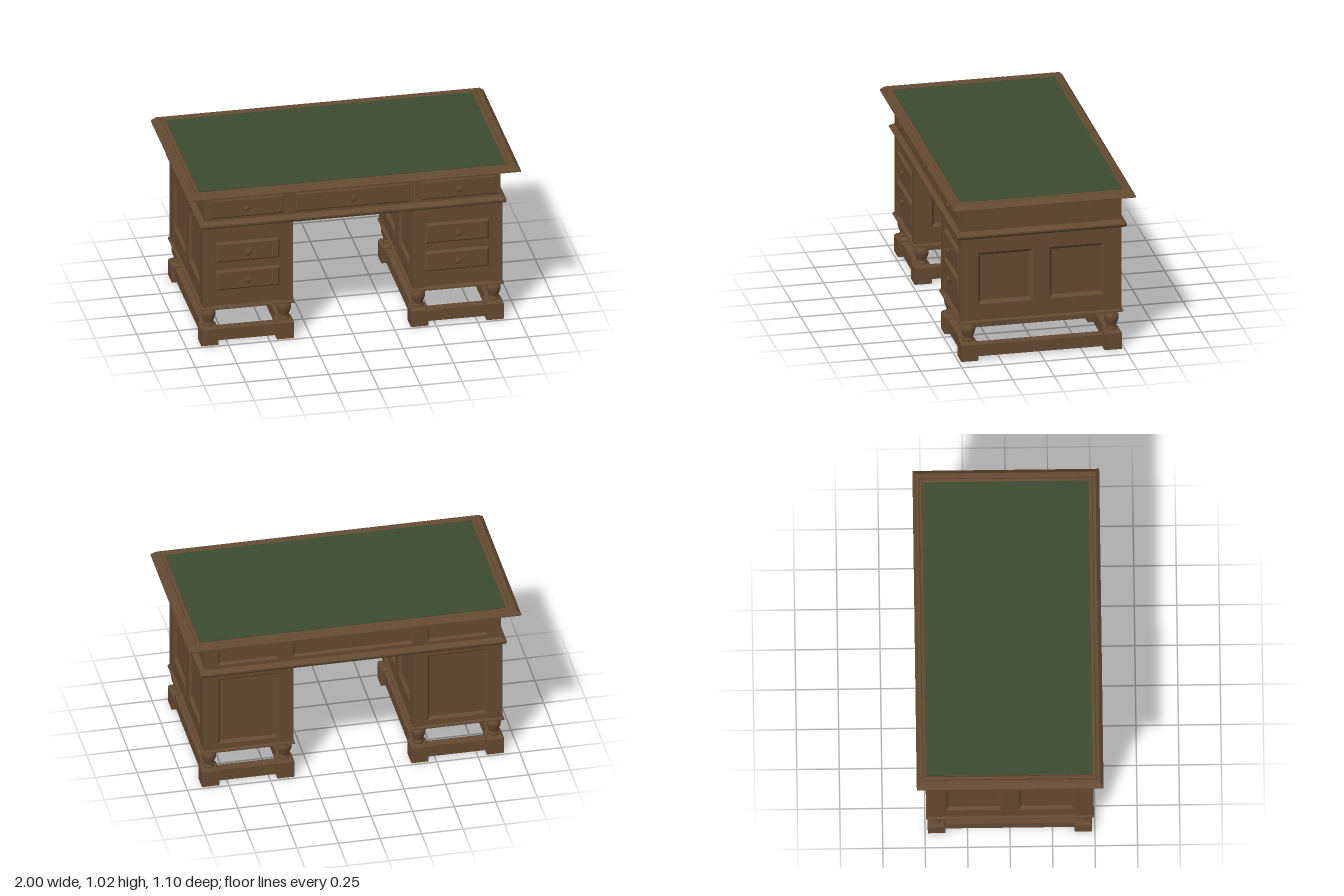
import * as THREE from 'three';

const wood = new THREE.MeshStandardMaterial({ color: 0x644a32 });
wood.name = 'walnut wood';
const leather = new THREE.MeshStandardMaterial({ color: 0x3d4c32 });
leather.name = 'green leather';

function add(parent, name, geometry, x = 0, y = 0, z = 0, material = wood) {
  const mesh = new THREE.Mesh(geometry, material);
  mesh.name = name;
  mesh.position.set(x, y, z);
  parent.add(mesh);
  return mesh;
}

// Rectangular sections [halfX, halfZ, y] joined in order, with flat faces
function loft(sections, bottomCap = true) {
  const loops = sections.map(([w, d, y]) => [[-w, y, -d], [-w, y, d], [w, y, d], [w, y, -d]]);
  const pos = [];
  const quad = (a, b, c, d) => pos.push(...a, ...b, ...c, ...a, ...c, ...d);
  for (let k = 0; k < loops.length - 1; k++) {
    for (let i = 0; i < 4; i++) {
      const j = (i + 1) % 4;
      quad(loops[k][i], loops[k][j], loops[k + 1][j], loops[k + 1][i]);
    }
  }
  quad(...loops[loops.length - 1]);
  if (bottomCap) quad(...loops[0].slice().reverse());
  const g = new THREE.BufferGeometry();
  g.setAttribute('position', new THREE.Float32BufferAttribute(pos, 3));
  g.computeVertexNormals();
  return g;
}

const box = (w, h, d) => new THREE.BoxGeometry(w, h, d);

// Frame facing +z with recessed, bevelled panels [centreX, centreY, halfW, halfH]
function panelledFace(name, halfW, halfH, panels, depth, bevel) {
  const group = new THREE.Group();
  group.name = name;
  const rect = (path, x, y, w, h) => {
    path.moveTo(x - w, y - h);
    path.lineTo(x + w, y - h);
    path.lineTo(x + w, y + h);
    path.lineTo(x - w, y + h);
    path.closePath();
    return path;
  };
  const shape = rect(new THREE.Shape(), 0, 0, halfW, halfH);
  for (const [x, y, w, h] of panels) {
    shape.holes.push(rect(new THREE.Path(), x, y, w, h));
    const recess = loft([[w, h, 0], [w - bevel, h - bevel, -depth * 0.9]], false).rotateX(Math.PI / 2);
    add(group, 'recessedPanel', recess, x, y, 0);
  }
  add(group, 'panelFrame', new THREE.ExtrudeGeometry(shape, { depth, bevelEnabled: false }), 0, 0, -depth);
  return group;
}

function place(parent, object, x, y, z, turn = 0) {
  object.position.set(x, y, z);
  object.rotation.y = turn;
  parent.add(object);
}

const lathe = (points, segments) =>
  new THREE.LatheGeometry(points.map(([r, y]) => new THREE.Vector2(r, y)), segments);

// Drawer front with bevelled rim and a turned knob
function drawer(halfW, halfH, thickness, bevel) {
  const group = new THREE.Group();
  group.name = 'drawer';
  add(group, 'drawerFront', loft([
    [halfW, halfH, 0], [halfW, halfH, thickness * 0.35], [halfW - bevel, halfH - bevel, thickness],
  ]).rotateX(Math.PI / 2));
  const knob = lathe([[0.011, -0.002], [0.01, 0.008], [0.019, 0.011], [0.021, 0.016], [0.017, 0.022], [0, 0.025]], 16);
  add(group, 'knob', knob.rotateX(Math.PI / 2), 0, 0, thickness);
  return group;
}

function createPedestal() {
  const p = new THREE.Group();
  p.name = 'pedestal';
  add(p, 'cabinetCore', box(0.49, 0.53, 0.92), 0, 0.51, 0);
  add(p, 'baseMoulding', loft([[0.279, 0.494, 0.235], [0.279, 0.494, 0.243], [0.27, 0.486, 0.252]]));

  // Panelled sides and back
  const sidePanels = [-1, 1].map(s => [s * 0.215, 0.003, 0.165, 0.1625]);
  for (const s of [-1, 1]) {
    place(p, panelledFace('sidePanels', 0.39, 0.26, sidePanels, 0.02, 0.019), s * 0.265, 0.51, 0, s * Math.PI / 2);
  }
  place(p, panelledFace('backPanel', 0.206, 0.26, [[0, 0, 0.18, 0.225]], 0.02, 0.015), 0, 0.51, -0.48, Math.PI);

  // Drawers between the front posts
  add(p, 'drawerSurround', box(0.412, 0.52, 0.02), 0, 0.51, 0.458);
  for (const y of [0.6, 0.418]) place(p, drawer(0.193, 0.065, 0.021, 0.012), 0, y, 0.466);

  // Corner posts, turned legs and block feet
  const leg = lathe([
    [0.026, 0.105], [0.035, 0.118], [0.035, 0.127], [0.027, 0.134], [0.031, 0.148], [0.041, 0.175],
    [0.043, 0.19], [0.043, 0.205], [0.036, 0.212], [0.036, 0.218], [0.028, 0.222], [0.034, 0.238],
  ], 20);
  const foot = loft([[0.052, 0.052, 0], [0.052, 0.052, 0.102], [0.04, 0.04, 0.117]]);
  for (const sx of [-1, 1]) {
    for (const sz of [-1, 1]) {
      add(p, 'cornerPost', box(0.065, 0.52, 0.095), sx * 0.2375, 0.51, sz * 0.4375);
      add(p, 'leg', leg, sx * 0.227, 0, sz * 0.432);
      add(p, 'foot', foot, sx * 0.227, 0, sz * 0.432);
    }
    add(p, 'sideStretcher', box(0.06, 0.072, 0.77), sx * 0.227, 0.055, 0);
    add(p, 'crossStretcher', box(0.36, 0.072, 0.06), 0, 0.055, sx * 0.432);
  }
  return p;
}

export function createModel() {
  const desk = new THREE.Group();
  desk.name = 'pedestalDesk';

  for (const s of [-1, 1]) place(desk, createPedestal(), s * 0.63, 0, 0);

  // Waist moulding and drawer case
  add(desk, 'waistMoulding', loft([
    [0.9, 0.494, 0.768], [0.912, 0.506, 0.774], [0.92, 0.512, 0.786], [0.92, 0.512, 0.796],
    [0.908, 0.5, 0.802], [0.893, 0.487, 0.815],
  ]));
  add(desk, 'drawerCase', loft([
    [0.89, 0.475, 0.8], [0.89, 0.475, 0.957], [0.872, 0.458, 0.975], [0.872, 0.458, 0.988],
  ]), 0, 0, 0.01);
  const casePanels = [[-0.63, 0, 0.18, 0.047], [0, 0, 0.36, 0.047], [0.63, 0, 0.18, 0.047]];
  place(desk, panelledFace('casePanels', 0.89, 0.073, casePanels, 0.02, 0.01), 0, 0.884, -0.485, Math.PI);

  // Top row of drawers
  for (const [x, w] of [[-0.64, 0.225], [0, 0.345], [0.64, 0.225]]) {
    place(desk, drawer(w, 0.06, 0.007, 0.008), x, 0.89, 0.484);
  }

  // Bevelled top with a moulded rim around the leather
  add(desk, 'deskTop', loft([
    [0.99, 0.54, 0.986], [1, 0.55, 0.988], [1, 0.55, 0.994], [0.972, 0.528, 1.021], [0.95, 0.516, 1.021],
    [0.944, 0.51, 1.014], [0.938, 0.504, 1.019], [0.928, 0.496, 1.019], [0.922, 0.49, 1.014],
  ]));
  add(desk, 'leatherInset', box(1.838, 0.006, 0.974), 0, 1.015, 0, leather);

  return desk;
}
